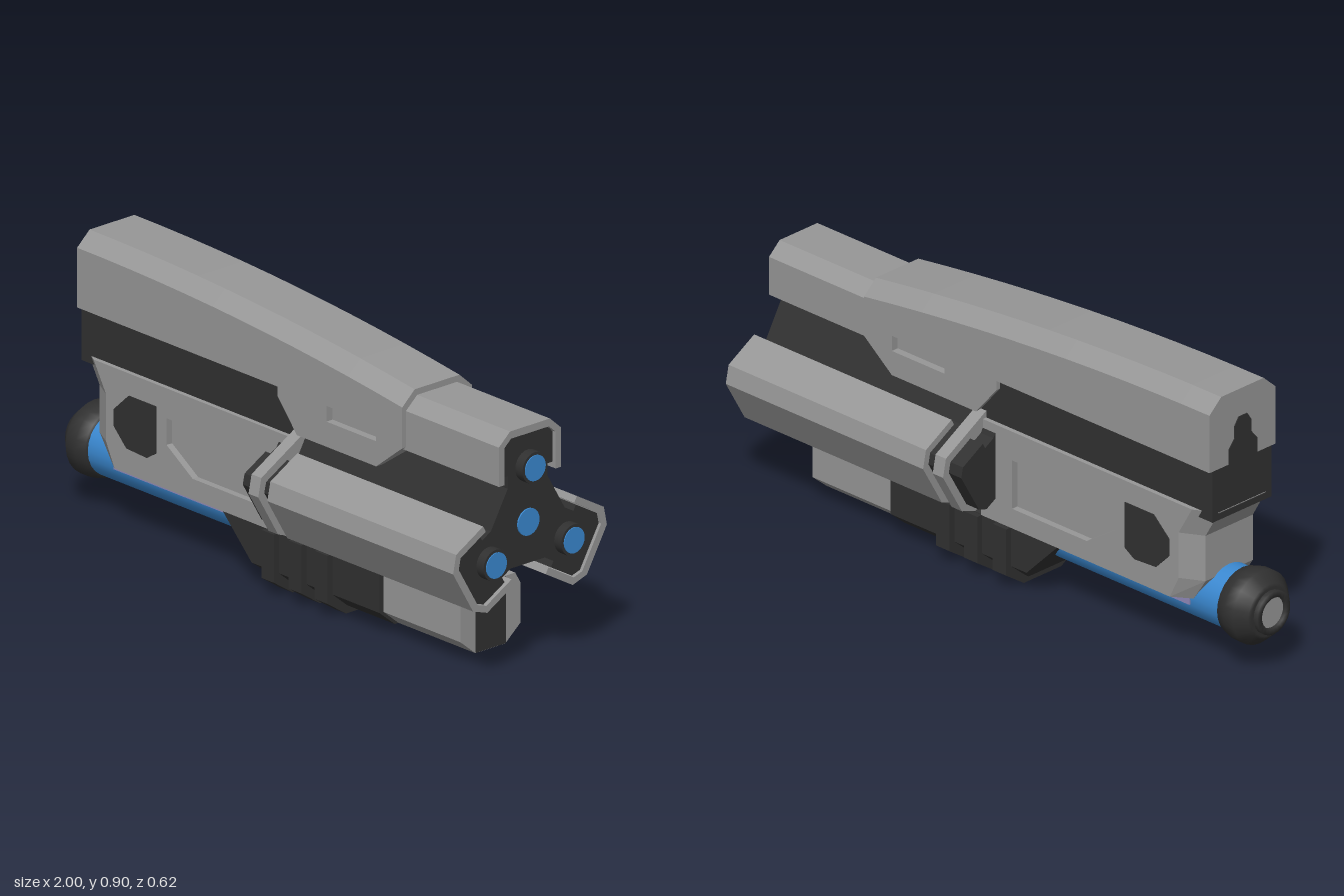
import * as THREE from 'three';

const gray = new THREE.MeshStandardMaterial({ color: 0x969696 });
gray.name = 'gray armour';
const dark = new THREE.MeshStandardMaterial({ color: 0x303030 });
dark.name = 'dark frame';
const blue = new THREE.MeshStandardMaterial({ color: 0x3a88d0 });
blue.name = 'energy blue';
const lilac = new THREE.MeshStandardMaterial({ color: 0x8f88b8 });
lilac.name = 'lilac strip';

const AXIS = 0.475; // height of the barrel cluster axis

export function createModel() {
  const model = new THREE.Group();

  const add = (name, geo, mat) => {
    const mesh = new THREE.Mesh(geo, mat);
    mesh.name = name;
    model.add(mesh);
    return mesh;
  };
  const toShape = (pts) => new THREE.Shape(pts.map((p) => new THREE.Vector2(p[0], p[1])));
  // half section -> symmetric section
  const mirror = (half) => [...half, ...half.map(([a, b]) => [-a, b]).reverse()];

  // move vertices by a rule and refresh flat normals
  const warp = (geo, rule) => {
    const p = geo.attributes.position;
    const v = new THREE.Vector3();
    for (let i = 0; i < p.count; i++) {
      rule(v.fromBufferAttribute(p, i));
      p.setXYZ(i, v.x, v.y, v.z);
    }
    geo.computeVertexNormals();
    return geo;
  };

  // (z, y) section swept along x
  const alongX = (pts, x0, x1, steps = 1) =>
    new THREE.ExtrudeGeometry(toShape(pts), { depth: x1 - x0, steps, bevelEnabled: false })
      .rotateY(Math.PI / 2).translate(x0, 0, 0);

  // (x, y) outline as a slab between two depths on side s
  const sideSlab = (pts, zIn, zOut, s, holes = []) => {
    const shape = toShape(pts);
    holes.forEach((h) => shape.holes.push(toShape(h)));
    return new THREE.ExtrudeGeometry(shape, { depth: zOut - zIn, bevelEnabled: false })
      .translate(0, 0, s > 0 ? zIn : -zOut);
  };

  const box = (x0, x1, y0, y1, z) =>
    new THREE.BoxGeometry(x1 - x0, y1 - y0, 2 * z).translate((x0 + x1) / 2, (y0 + y1) / 2, 0);

  const rodX = (r, x0, x1, y, z, n = 24) =>
    new THREE.CylinderGeometry(r, r, x1 - x0, n).rotateZ(Math.PI / 2).translate((x0 + x1) / 2, y, z);

  // point (w, r) of lobe k turned about the cluster axis
  const lobe = (pts, k) => pts.map(([w, r]) => {
    const a = (k * Math.PI * 2) / 3;
    return [w * Math.cos(a) + r * Math.sin(a), AXIS - w * Math.sin(a) + r * Math.cos(a)];
  });

  // ---- barrel cluster ----
  const coreLobe = [[-0.08, 0.125], [-0.08, 0.165], [-0.1, 0.165], [-0.1, 0.262], [-0.075, 0.285],
    [0.075, 0.285], [0.1, 0.262], [0.1, 0.165], [0.08, 0.165], [0.08, 0.125]];
  add('barrelCore', alongX([0, 1, 2].flatMap((k) => lobe(coreLobe, k)), 0.02, 0.965), dark);
  add('centreLight', rodX(0.043, 0.96, 0.97, AXIS, 0), blue);

  const plate = [[-0.125, 0.145], [-0.125, 0.27], [-0.08, 0.31], [0.08, 0.31], [0.125, 0.27], [0.125, 0.145],
    [0.103, 0.145], [0.103, 0.262], [0.076, 0.286], [-0.076, 0.286], [-0.103, 0.262], [-0.103, 0.145]];
  const collar = mirror([[0.125, 0.05], [0.125, 0.27], [0.08, 0.31]]);
  for (let k = 0; k < 3; k++) {
    add('barrelPlate', alongX(lobe(plate, k), k ? 0.155 : 0.5, 0.975), gray);
    if (k) add('barrelCollar', alongX(lobe(collar, k), 0.072, 0.115), gray);
    const [[a, y]] = lobe([[0, 0.18]], k);
    add('muzzle', rodX(0.05, 0.94, 0.997, y, -a), dark);
    add('muzzleLight', rodX(0.041, 0.992, 1.0, y, -a), blue);
  }

  // ---- top cover, sloping down to the front ----
  const cover = alongX(mirror([[0.14, 0.67], [0.14, 0.86], [0.09, 0.905]]), -0.87, 0.565, 12);
  add('topCover', warp(cover, (v) => {
    if (v.y > 0.7) v.y -= 0.1 * ((v.x + 0.87) / 1.435) ** 2;
  }), gray);
  const arch = mirror([[0.06, 0.672], [0.06, 0.72], [0.035, 0.75], [0.035, 0.79], [0.018, 0.815]]);
  add('rearCoverOpening', alongX(arch, -0.873, -0.868), dark);

  // ---- body ----
  add('midBand', box(-0.868, 0.1, 0.5, 0.69, 0.125), dark);
  const body = [[-0.87, 0.525], [-0.815, 0.43], [-0.815, 0.28], [-0.765, 0.205], [0.08, 0.205], [0.08, 0.525]];
  add('bodyCore', sideSlab(body, -0.1, 0.1, 1), gray);

  const skirt = [[0.015, 0.67], [0.015, 0.64], [0.1, 0.54], [0.45, 0.54], [0.565, 0.63], [0.565, 0.67],
    [0.45, 0.67], [0.45, 0.62], [0.23, 0.62], [0.23, 0.67]];
  const panel = [[-0.475, 0.43], [-0.05, 0.43], [-0.05, 0.27], [-0.36, 0.27], [-0.475, 0.345]];
  const windowOutline = [[-0.705, 0.395], [-0.705, 0.34], [-0.65, 0.285], [-0.56, 0.28], [-0.52, 0.305],
    [-0.52, 0.455], [-0.64, 0.455]];
  for (const s of [1, -1]) {
    // side wall with chamfered rear edge and a sunken panel
    add('bodySide', warp(sideSlab(body, 0.1, 0.14, s, [panel]), (v) => {
      if (Math.abs(v.z) > 0.12 && v.x < -0.75) v.x += v.y < 0.25 ? 0.06 : 0.073;
    }), gray);
    add('panelFloor', sideSlab(panel, 0.1, 0.118, s), gray);
    add('sideWindow', sideSlab(windowOutline, 0.138, 0.143, s), dark);
    add('coverSkirt', sideSlab(skirt, 0.08, 0.14, s), gray);
    add('skirtPocket', sideSlab([[0.23, 0.62], [0.45, 0.62], [0.45, 0.67], [0.23, 0.67]], 0.08, 0.115, s), gray);
    add('tubeStrip', sideSlab([[-0.75, 0.18], [-0.2, 0.18], [-0.2, 0.205], [-0.75, 0.205]], 0.095, 0.103, s), lilac);
  }

  // ---- energy tube and end cap ----
  add('energyTube', rodX(0.1, -0.92, -0.05, 0.203, 0), blue);
  const capProfile = [[0.095, 0.865], [0.108, 0.87], [0.118, 0.905], [0.118, 0.945], [0.088, 0.98], [0.078, 0.985], [0, 0.985]];
  add('tubeCap', new THREE.LatheGeometry(capProfile.map((p) => new THREE.Vector2(...p)), 24)
    .rotateZ(Math.PI / 2).translate(0, 0.203, 0), dark);
  add('capRim', new THREE.LatheGeometry(
    [[0.07, 0.98], [0.07, 1.0], [0.05, 1.0], [0.05, 0.98]].map((p) => new THREE.Vector2(...p)), 24)
    .rotateZ(Math.PI / 2).translate(0, 0.203, 0), dark);
  add('capDisc', rodX(0.05, -0.99, -0.984, 0.203, 0), gray);

  // ---- foregrip ----
  const grip = alongX(mirror([[0.075, 0.025], [0.135, 0.075], [0.135, 0.205], [0.1, 0.25]]), -0.24, 0.46);
  add('foregrip', warp(grip, (v) => {
    if (v.x < 0) v.x += Math.max(0, 0.21 - v.y);
  }), dark);
  const rib = mirror([[0.08, 0], [0.155, 0.05], [0.155, 0.203]]);
  for (const x of [-0.04, 0.08, 0.195]) add('gripRib', alongX(rib, x, x + 0.056), dark);
  const block = mirror([[0.06, 0.025], [0.12, 0.075], [0.12, 0.205], [0.1, 0.24]]);
  add('gripFrontBlock', alongX(block, 0.455, 0.8), gray);
  add('gripFrontInset', box(0.798, 0.803, 0.027, 0.238, 0.06), dark);
  add('gripMount', box(0.1, 0.46, 0.2, 0.38, 0.065), dark);

  return model;
}
